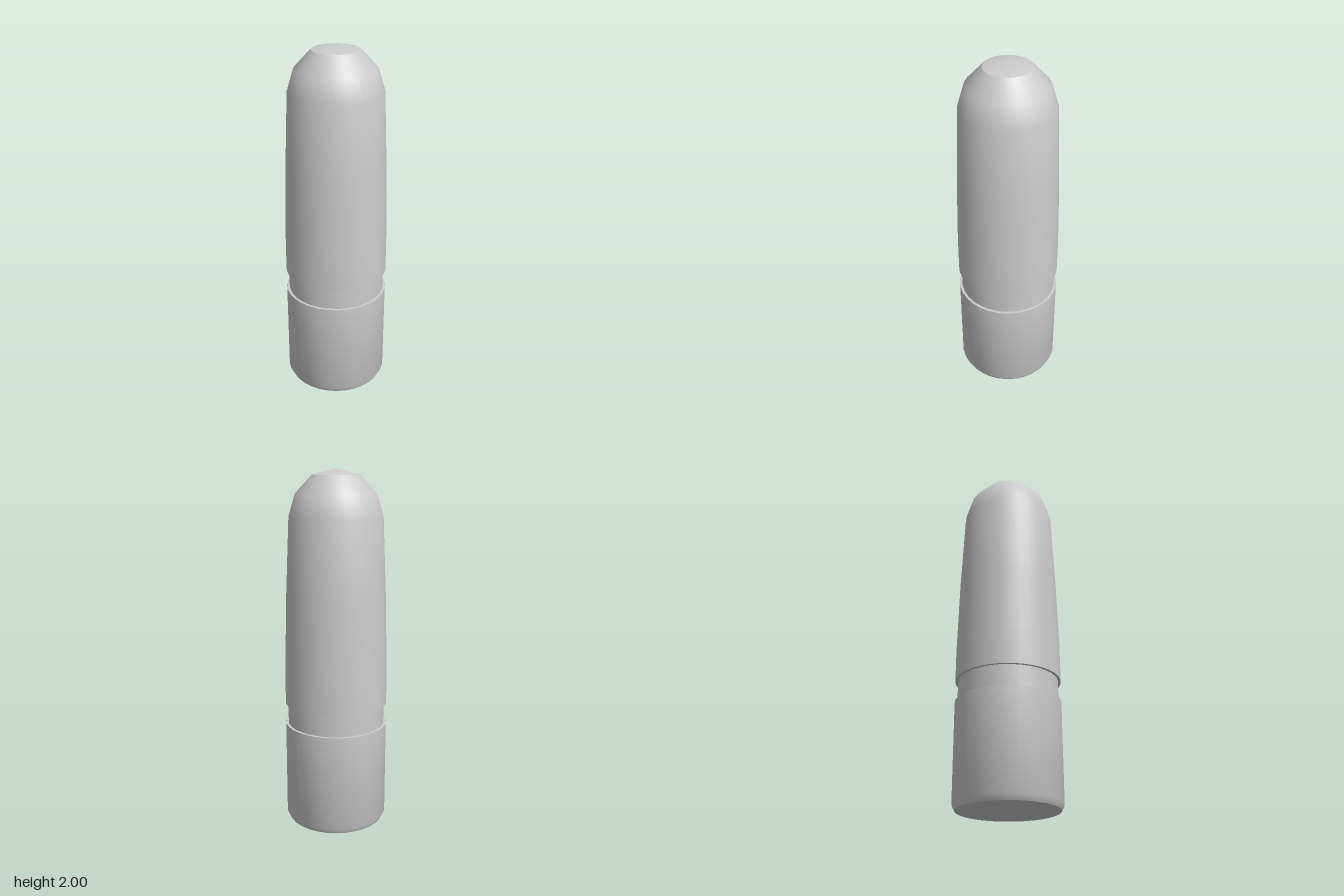
import * as THREE from 'three';
import { toCreasedNormals } from 'three/addons/utils/BufferGeometryUtils.js';

const SIDES = 32;

// Turned part from [radius, height] points, listed bottom to top
function turned(name, points, material) {
  const profile = points.map(([r, y]) => new THREE.Vector2(r, y));
  const geometry = toCreasedNormals(new THREE.LatheGeometry(profile, SIDES), THREE.MathUtils.degToRad(30));
  const mesh = new THREE.Mesh(geometry, material);
  mesh.name = name;
  return mesh;
}

export function createModel() {
  const model = new THREE.Group();
  model.name = 'roundedCapsule';
  const material = new THREE.MeshStandardMaterial({ color: 0xcccccc });

  // Base with a small bevel at the foot and a ledge at the top
  model.add(turned('base', [[0, 0], [0.275, 0], [0.29, 0.03], [0.29, 0.58], [0.275, 0.58]], material));

  // Recessed band between base and body
  model.add(turned('neck', [[0.275, 0.58], [0.275, 0.7]], material));

  // Tapering body with a faceted rounded tip
  model.add(turned('body', [
    [0.275, 0.7], [0.29, 0.7], [0.289, 0.9], [0.278, 1.3],
    [0.258, 1.75], [0.222, 1.87], [0.129, 1.97], [0, 2],
  ], material));

  return model;
}
